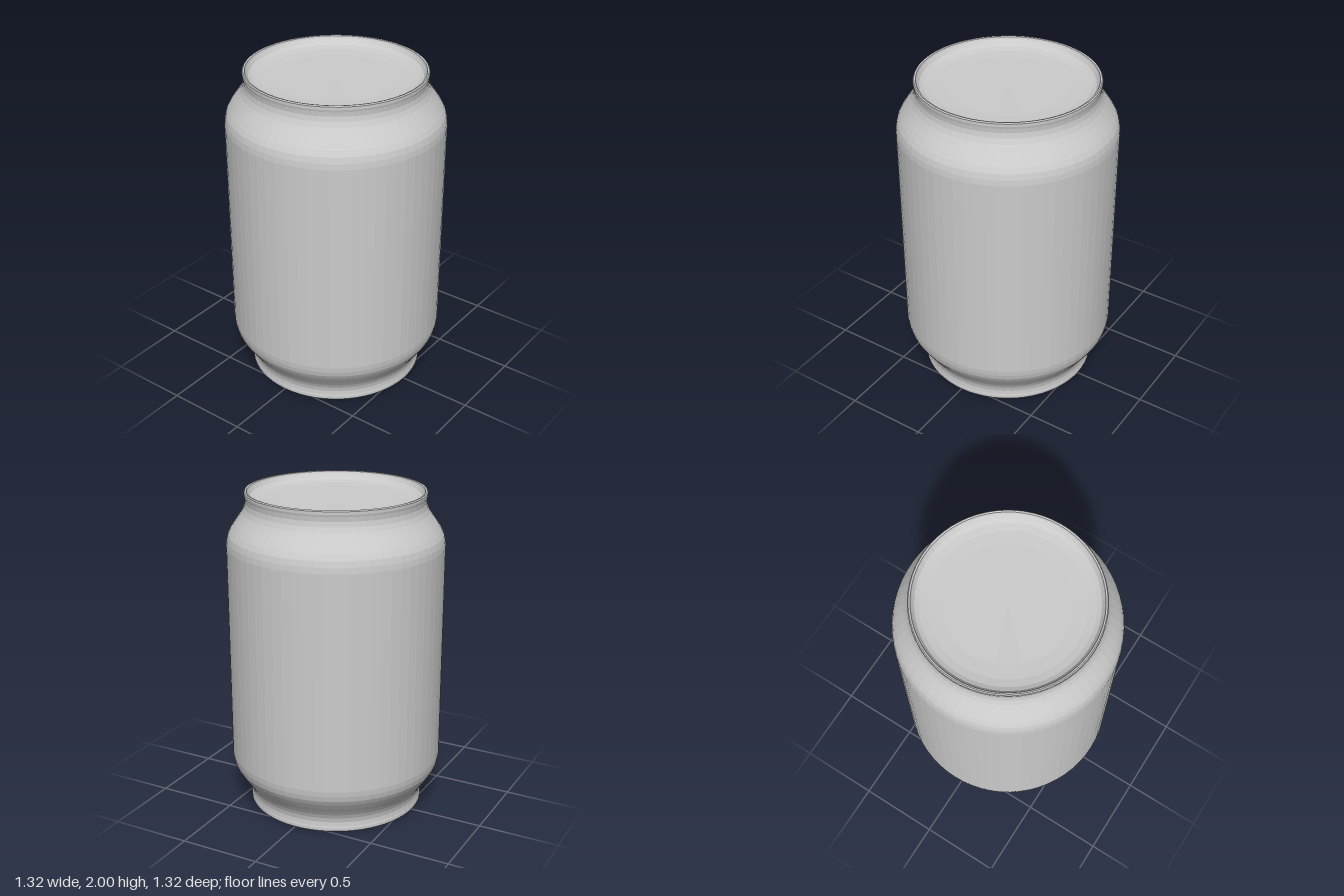
import * as THREE from 'three';

const SEGMENTS = 64;
const MID = 1; // the can is mirrored about this height

const lathe = (name, points, material) => {
  const geometry = new THREE.LatheGeometry(points.map(([r, y]) => new THREE.Vector2(r, y)), SEGMENTS);
  const mesh = new THREE.Mesh(geometry, material);
  mesh.name = name;
  return mesh;
};

// Mirrors a profile about mid height, keeping bottom-to-top order
const flip = (points) => points.map(([r, y]) => [r, 2 * MID - y]).reverse();

export function createModel() {
  const can = new THREE.Group();
  can.name = 'can';
  const material = new THREE.MeshStandardMaterial({ color: 0xcccccc, flatShading: true, side: THREE.DoubleSide });

  // Shoulder, neck and outer lip, from the wall upwards
  const shoulder = [
    [0.66, 1.67], [0.656, 1.705], [0.647, 1.74], [0.63, 1.772], [0.606, 1.808],
    [0.58, 1.845], [0.56, 1.876], [0.547, 1.905], [0.541, 1.935], [0.543, 1.962], [0.546, 1.975],
    [0.546, 1.993], [0.54, 2],
  ];
  can.add(lathe('body', [...flip(shoulder), ...shoulder], material));

  // Rim and shallow dished end, from the lip inwards
  const end = [
    [0.54, 2], [0.53, 1.997], [0.525, 1.985], [0.51, 1.965],
    [0.485, 1.954], [0.44, 1.946], [0.36, 1.941], [0, 1.94],
  ];
  can.add(lathe('topEnd', end, material));
  can.add(lathe('bottomEnd', flip(end), material));

  return can;
}
